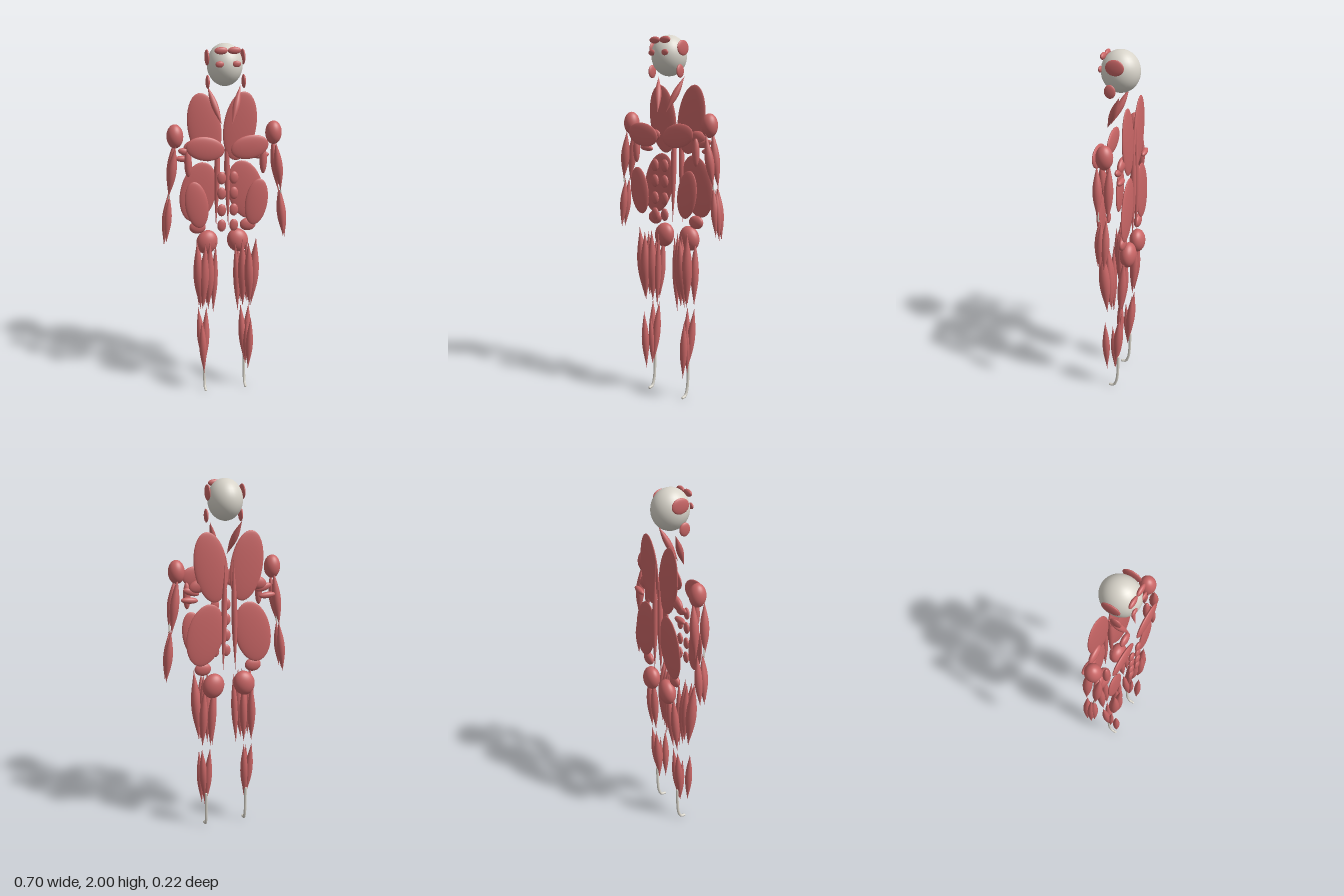
import * as THREE from 'three';

const muscle = new THREE.MeshStandardMaterial({ color: 0xc96666 });
muscle.name = 'muscle red';
const bone = new THREE.MeshStandardMaterial({ color: 0xd8d4ca });
bone.name = 'bone grey';

const ballGeo = new THREE.SphereGeometry(1, 32, 20);

// Unit spindle along y with pointed ends
const profile = [];
for (let i = 0; i <= 16; i++) {
  const t = i / 16;
  profile.push(new THREE.Vector2(Math.pow(Math.sin(Math.PI * t), 1.25) + 0.00001, t - 0.5));
}
const spindleGeo = new THREE.LatheGeometry(profile, 16);

// Rounded muscles: name, centre, radii, tilt about z (for the +x side)
const ovals = [
  ['brow', [0.034, 1.97, 0.085], [0.034, 0.018, 0.012], 0],
  ['eyeMuscle', [0.043, 1.905, 0.098], [0.022, 0.016, 0.009], 0],
  ['templeMuscle', [0.093, 1.93, 0.008], [0.01, 0.04, 0.048], 0],
  ['jawMuscle', [0.094, 1.81, 0.033], [0.01, 0.035, 0.03], 0],
  ['trapezius', [0.097, 1.555, -0.063], [0.09, 0.187, 0.014], -0.15],
  ['latissimus', [0.133, 1.195, -0.072], [0.1, 0.172, 0.014], 0.22],
  ['shoulderBladeMuscle', [0.16, 1.46, -0.05], [0.055, 0.035, 0.018], -0.3],
  ['upperTeres', [0.2, 1.43, -0.045], [0.045, 0.02, 0.014], 0.3],
  ['lowerTeres', [0.215, 1.39, -0.063], [0.046, 0.017, 0.016], 0.08],
  ['deltoid', [0.265, 1.53, 0.006], [0.044, 0.063, 0.044], 0],
  ['pectoral', [0.118, 1.475, 0.086], [0.101, 0.063, 0.014], 0.17],
  ['serratus', [0.203, 1.39, 0.04], [0.02, 0.073, 0.018], 0],
  ['oblique', [0.163, 1.165, 0.063], [0.062, 0.13, 0.014], -0.14],
  ['hipMuscle', [0.143, 1.0, -0.05], [0.046, 0.037, 0.02], 0],
  ['gluteus', [0.088, 0.903, -0.064], [0.06, 0.07, 0.044], 0.3],
];
for (const y of [1.315, 1.23, 1.137, 1.05]) {
  ovals.push(['abdominal', [0.033, y, 0.088], [0.024, 0.034, 0.012], 0]);
}

// Long muscles: name, upper end, lower end, radius
const spindles = [
  ['neckMuscle', [0.088, 1.785, -0.015], [0.028, 1.595, 0.07], 0.018],
  ['spineMuscle', [0.022, 1.61, -0.07], [0.035, 0.98, -0.072], 0.016],
  ['biceps', [0.268, 1.49, 0.045], [0.308, 1.21, 0.03], 0.024],
  ['triceps', [0.265, 1.51, -0.02], [0.305, 1.2, -0.022], 0.024],
  ['forearmFlexor', [0.302, 1.22, 0.02], [0.328, 0.95, 0.03], 0.02],
  ['forearmExtensor', [0.305, 1.22, -0.015], [0.338, 0.93, -0.01], 0.022],
  ['forearmOuter', [0.312, 1.21, 0.01], [0.34, 0.93, 0.015], 0.02],
  ['frontThigh', [0.12, 0.94, 0.072], [0.135, 0.54, 0.045], 0.028],
  ['outerThigh', [0.165, 0.96, 0.062], [0.145, 0.54, 0.04], 0.03],
  ['innerThigh', [0.09, 0.95, 0.05], [0.1, 0.53, 0.028], 0.028],
  ['deepThigh', [0.115, 0.94, 0.045], [0.12, 0.56, 0.03], 0.024],
  ['adductor', [0.055, 0.93, 0.03], [0.072, 0.5, 0.025], 0.019],
  ['outerHamstring', [0.135, 0.9, -0.055], [0.145, 0.53, -0.032], 0.023],
  ['innerHamstring', [0.085, 0.9, -0.055], [0.1, 0.53, -0.032], 0.022],
  ['shinMuscle', [0.143, 0.47, 0.055], [0.13, 0.13, 0.05], 0.021],
  ['outerCalf', [0.148, 0.52, -0.032], [0.125, 0.17, 0], 0.023],
  ['innerCalf', [0.1, 0.52, -0.032], [0.12, 0.15, 0], 0.023],
  ['deepCalf', [0.128, 0.44, 0.015], [0.125, 0.14, 0.002], 0.017],
];

// Tendons: name, path points, radius
const tendons = [
  ['heelTendon', [[0.12, 0.22, -0.015], [0.12, 0.13, -0.013], [0.12, 0.05, -0.005],
    [0.12, 0.013, 0.012], [0.12, 0.008, 0.036]], 0.008],
  ['elbowTendon', [[0.303, 1.26, 0.028], [0.308, 1.2, 0.026]], 0.004],
];

function oval(name, c, r, tilt, material) {
  const m = new THREE.Mesh(ballGeo, material);
  m.name = name;
  m.position.set(...c);
  m.scale.set(...r);
  m.rotation.z = tilt;
  return m;
}

function spindle(name, a, b, radius) {
  const dir = a.clone().sub(b);
  const m = new THREE.Mesh(spindleGeo, muscle);
  m.name = name;
  m.position.copy(a).add(b).multiplyScalar(0.5);
  m.scale.set(radius, dir.length(), radius);
  m.quaternion.setFromUnitVectors(new THREE.Vector3(0, 1, 0), dir.normalize());
  return m;
}

// Tube with rounded ends
function tendon(name, points, radius) {
  const g = new THREE.Group();
  g.name = name;
  const curve = new THREE.CatmullRomCurve3(points);
  g.add(new THREE.Mesh(new THREE.TubeGeometry(curve, 24, radius, 10), bone));
  for (const p of [points[0], points[points.length - 1]]) {
    g.add(oval('tendonEnd', p.toArray(), [radius, radius, radius], 0, bone));
  }
  return g;
}

export function createModel() {
  const model = new THREE.Group();
  model.name = 'muscleFigure';
  model.add(oval('skull', [0, 1.892, 0.005], [0.092, 0.108, 0.101], 0, bone));

  for (const [side, s] of [['left', 1], ['right', -1]]) {
    const half = new THREE.Group();
    half.name = side + 'Half';
    const at = (p) => new THREE.Vector3(p[0] * s, p[1], p[2]);
    for (const [n, c, r, tilt] of ovals) {
      half.add(oval(n, at(c).toArray(), r, tilt * s, muscle));
    }
    for (const [n, a, b, r] of spindles) half.add(spindle(n, at(a), at(b), r));
    for (const [n, pts, r] of tendons) half.add(tendon(n, pts.map(at), r));
    model.add(half);
  }
  return model;
}
